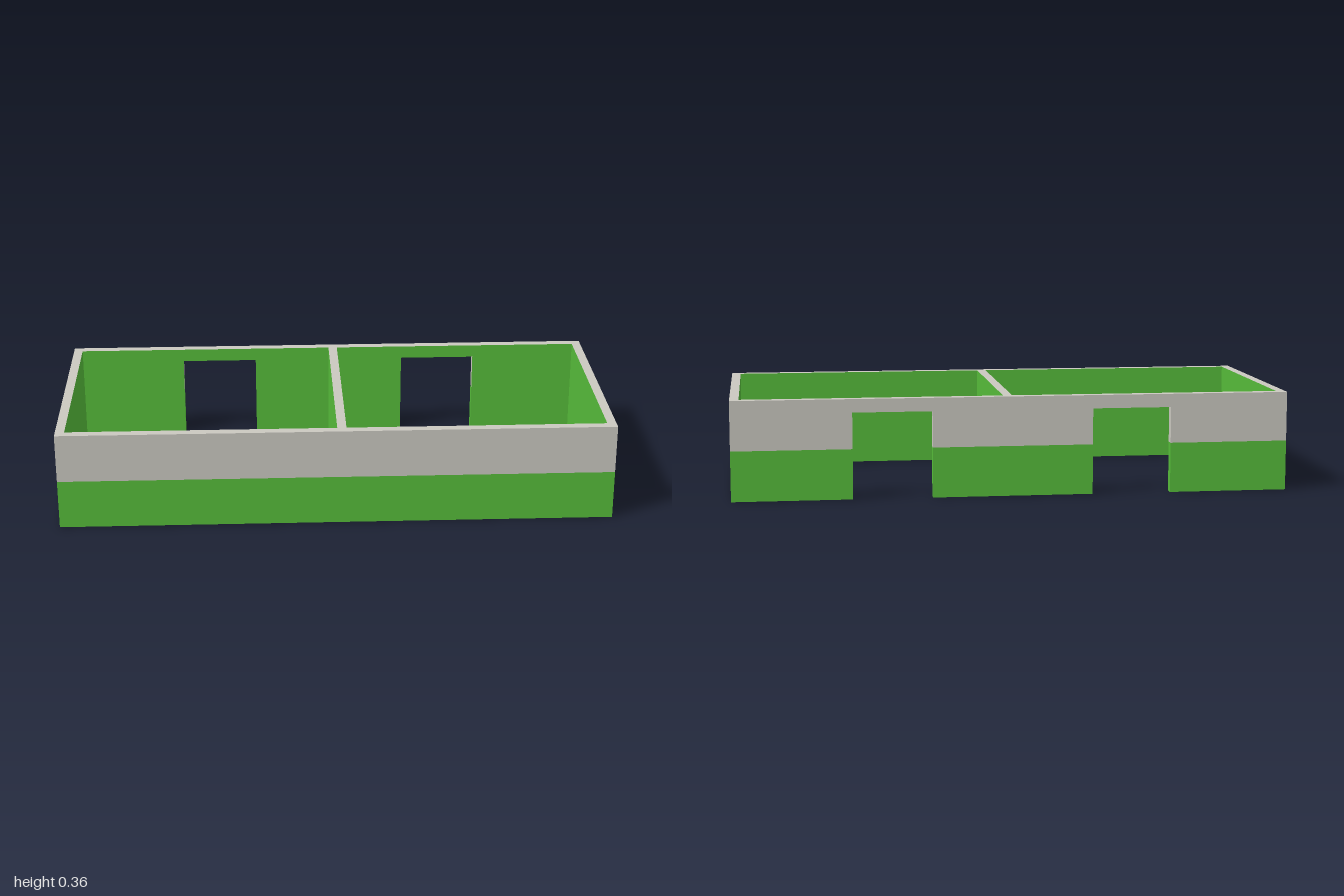
import * as THREE from 'three';

const H = 0.358, MID = 0.18, T = 0.033, X = 1, Z = 0.427;
const DOOR_IN = 0.288, DOOR_OUT = 0.572, DOOR_TOP = 0.31;

export function createModel() {
  const green = new THREE.MeshStandardMaterial({ color: 0x56bc3a });
  green.name = 'green paint';
  const grey = new THREE.MeshStandardMaterial({ color: 0xcac8c0 });
  grey.name = 'pale grey plaster';

  const model = new THREE.Group();
  model.name = 'building walls';

  // Box between two corners; faces are ordered +x, -x, +y, -y, +z, -z
  function block(parent, name, x0, x1, y0, y1, z0, z1, material) {
    const mesh = new THREE.Mesh(new THREE.BoxGeometry(x1 - x0, y1 - y0, z1 - z0), material);
    mesh.position.set((x0 + x1) / 2, (y0 + y1) / 2, (z0 + z1) / 2);
    mesh.name = name;
    parent.add(mesh);
  }

  // Upper bands are grey except on the room-side faces listed
  const upperFaces = (greenFaces) =>
    [0, 1, 2, 3, 4, 5].map((i) => (i === 3 || greenFaces.includes(i) ? green : grey));

  // Wall with a green lower half and a two-tone upper half
  function wall(name, x0, x1, z0, z1, greenFaces) {
    const group = new THREE.Group();
    group.name = name;
    block(group, 'lowerBand', x0, x1, 0, MID, z0, z1, green);
    block(group, 'upperBand', x0, x1, MID, H, z0, z1, upperFaces(greenFaces));
    model.add(group);
  }

  // Closed walls and the dividing wall
  wall('frontWall', -X, X, Z - T, Z, [5]);
  wall('leftWall', X - T, X, -Z + T, Z - T, [1]);
  wall('rightWall', -X, -X + T, -Z + T, Z - T, [0]);
  wall('partition', 0, T, -Z + T, Z - T, [0, 1]);

  // Back wall: three piers with a lintel over each doorway
  const piers = [[-X, -DOOR_OUT], [-DOOR_IN, DOOR_IN], [DOOR_OUT, X]];
  for (const [x0, x1] of piers) wall('backPier', x0, x1, -Z, -Z + T, [4]);
  for (const [x0, x1] of [[-DOOR_OUT, -DOOR_IN], [DOOR_IN, DOOR_OUT]]) {
    block(model, 'doorLintel', x0, x1, DOOR_TOP, H, -Z, -Z + T, upperFaces([4]));
  }
  return model;
}
